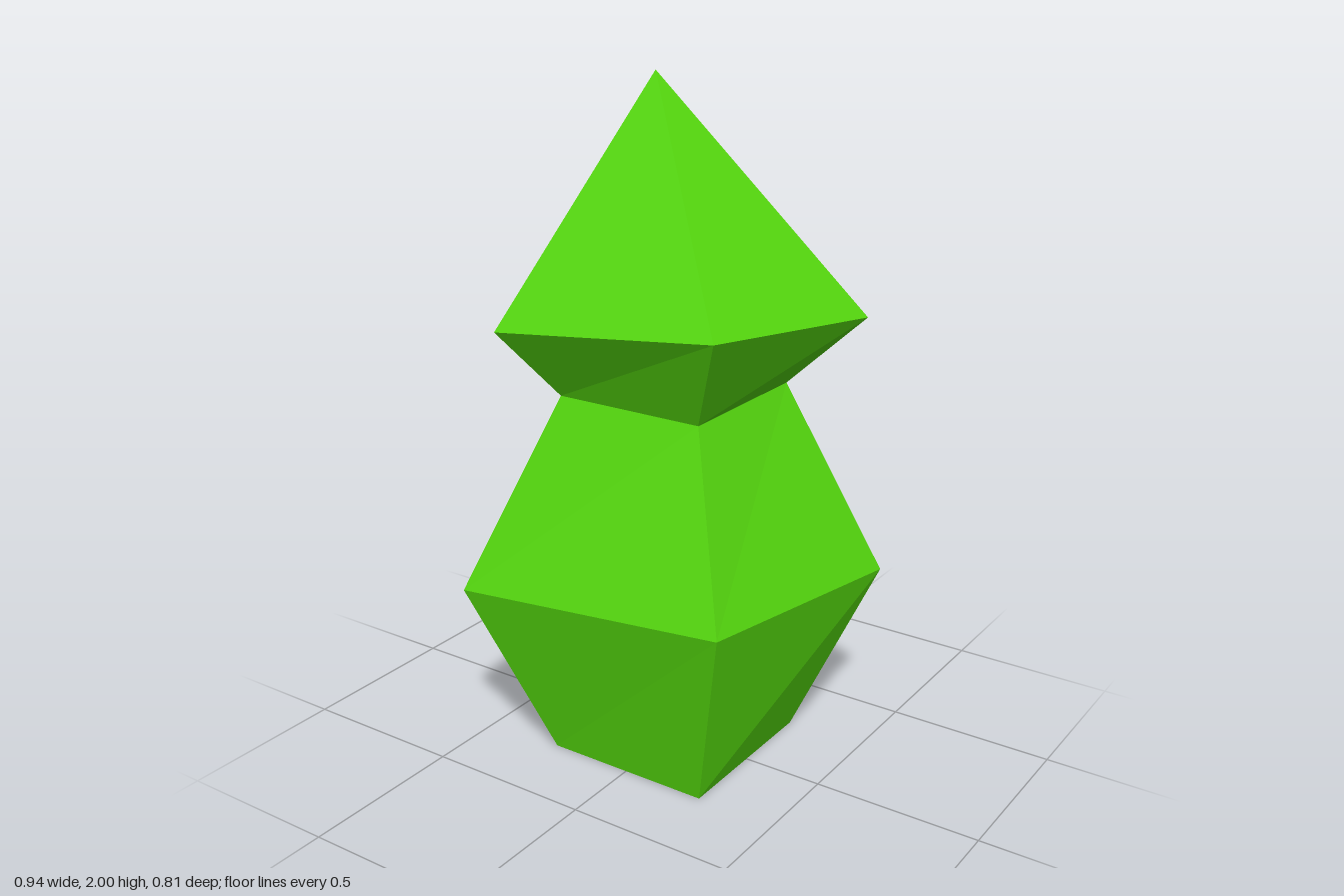
import * as THREE from 'three';

const material = new THREE.MeshStandardMaterial({
  color: 0x57dd0f, flatShading: true, side: THREE.DoubleSide,
});

// Level square ring
const square = (r, y) => [[-r, y, r], [r, y, r], [r, y, -r], [-r, y, -r]];

// Skewed ring: the front-right and back-left corners sit higher
const skewed = (low, high, z, yLow, yHigh, shift = 0) => [
  [-low + shift, yLow, z], [high, yHigh, z], [low, yLow, -z], [-high + shift, yHigh, -z],
];

// Joins four-cornered rings from bottom to top, optionally closed by an apex
function tier(name, rings, apex) {
  const positions = [];
  const triangle = (...points) => points.forEach((p) => positions.push(...p));
  for (let i = 0; i < 4; i++) {
    const j = (i + 1) % 4;
    for (let k = 0; k + 1 < rings.length; k++) {
      const a = rings[k], b = rings[k + 1];
      triangle(a[i], a[j], b[j]);
      triangle(a[i], b[j], b[i]);
    }
    const top = rings[rings.length - 1];
    if (apex) triangle(top[i], top[j], apex);
  }
  const geometry = new THREE.BufferGeometry();
  geometry.setAttribute('position', new THREE.Float32BufferAttribute(positions, 3));
  geometry.computeVertexNormals();
  const mesh = new THREE.Mesh(geometry, material);
  mesh.name = name;
  return mesh;
}

export function createModel() {
  const group = new THREE.Group();
  group.name = 'plant';
  const neck = square(0.23, 1.117);

  // Lower foliage, open underneath
  group.add(tier('lowerFoliage', [
    square(0.257, 0.005), skewed(0.468, 0.407, 0.407, 0.525, 0.608), neck,
  ]));

  // Upper foliage with an off-centre tip
  group.add(tier('upperFoliage', [
    neck, skewed(0.417, 0.357, 0.357, 1.31, 1.39, 0.061),
  ], [-0.063, 2, 0]));

  return group;
}
